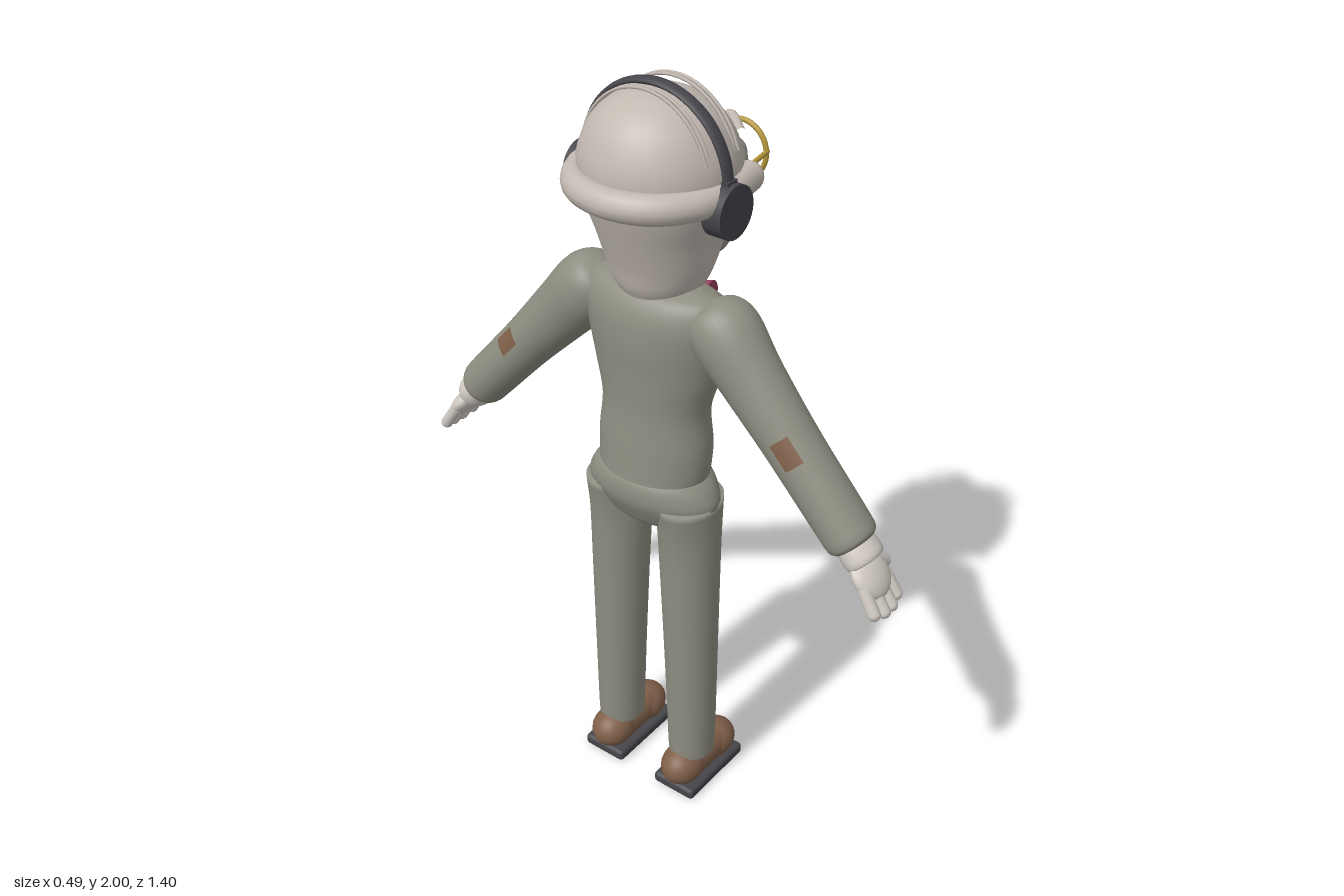
import * as THREE from 'three';
import { RoundedBoxGeometry } from 'three/addons/geometries/RoundedBoxGeometry.js';

const V = (x, y, z) => new THREE.Vector3(x, y, z);
const mat = (name, color) => {
  const m = new THREE.MeshStandardMaterial({ color });
  m.name = name;
  return m;
};

// Closed skin through horizontal ellipses, bottom to top: [y, halfWidth, centreX, centreZ, halfDepth]
function loft(sections, steps = 32, n = 32) {
  const mid = new THREE.CatmullRomCurve3(sections.map(s => V(s[2], s[0], s[3])), false, 'catmullrom');
  const size = new THREE.CatmullRomCurve3(sections.map(s => V(s[1], 0, s[4])), false, 'catmullrom');
  const pos = [], idx = [];
  for (let j = -1; j <= steps + 1; j++) {
    const t = Math.min(Math.max(j / steps, 0), 1);
    const c = mid.getPoint(t), r = size.getPoint(t);
    const k = j < 0 || j > steps ? 0 : 1;
    for (let i = 0; i < n; i++) {
      const a = i / n * Math.PI * 2;
      pos.push(c.x + Math.cos(a) * r.x * k, c.y, c.z + Math.sin(a) * r.z * k);
    }
  }
  for (let j = 0; j < steps + 2; j++) for (let i = 0; i < n; i++) {
    const a = j * n + i, b = j * n + (i + 1) % n;
    idx.push(a, a + n, b, b, a + n, b + n);
  }
  const g = new THREE.BufferGeometry();
  g.setAttribute('position', new THREE.Float32BufferAttribute(pos, 3));
  g.setIndex(idx);
  g.computeVertexNormals();
  return g;
}

const tube = (pts, r, seg = 32, sides = 10) =>
  new THREE.TubeGeometry(new THREE.CatmullRomCurve3(pts), seg, r, sides);

export function createModel() {
  const suit = mat('suit grey', 0x8e8e82), skin = mat('skin', 0xc2b9b1), light = mat('shirt white', 0xd0c9c2);
  const dark = mat('dark plastic', 0x45454b), brown = mat('brown leather', 0x80604a), gold = mat('gold wire', 0xb8983c);
  const pink = mat('bow tie pink', 0x94405f), lipGrey = mat('lip grey', 0x948f88), tooth = mat('teeth', 0xdcd8c8);

  const model = new THREE.Group();
  const body = new THREE.Group();
  body.name = 'figure';
  body.rotation.y = Math.PI / 2;   // built facing +z, turned to face +x
  model.add(body);

  const add = (name, geo, m, x = 0, y = 0, z = 0, parent = body) => {
    const mesh = new THREE.Mesh(geo, m);
    mesh.name = name;
    mesh.position.set(x, y, z);
    parent.add(mesh);
    return mesh;
  };
  const ball = (name, m, p, s, parent = body) => {
    const mesh = add(name, new THREE.SphereGeometry(1, 24, 16), m, ...p, parent);
    mesh.scale.set(...s);
    return mesh;
  };
  const rod = (name, m, a, b, r, parent = body) => {
    const mesh = add(name, new THREE.CapsuleGeometry(r, a.distanceTo(b), 5, 12), m, 0, 0, 0, parent);
    mesh.position.copy(a).lerp(b, 0.5);
    mesh.quaternion.setFromUnitVectors(V(0, 1, 0), b.clone().sub(a).normalize());
    return mesh;
  };

  // Jacket and trousers
  add('jacket', loft([
    [1.0, .146, 0, -.04, .113], [1.03, .152, 0, -.037, .112], [1.1, .154, 0, -.032, .112], [1.2, .146, 0, -.03, .106],
    [1.3, .172, 0, -.022, .115], [1.39, .195, 0, -.016, .125], [1.46, .204, 0, -.022, .112],
    [1.505, .182, 0, -.03, .08], [1.525, .12, 0, -.03, .04]], 48, 40), suit);
  add('hips', loft([
    [.86, .06, 0, -.04, .055], [.88, .13, 0, -.04, .078], [.91, .175, 0, -.04, .095],
    [.95, .188, 0, -.04, .113], [.985, .175, 0, -.04, .117], [1.01, .155, 0, -.04, .113], [1.03, .13, 0, -.04, .1]], 32, 40), suit);

  // Shirt front and bow tie
  add('shirtFront', loft([
    [1.26, .004, 0, .08, .01], [1.31, .016, 0, .088, .014], [1.35, .022, 0, .094, .018],
    [1.4, .033, 0, .094, .02], [1.44, .045, 0, .082, .024], [1.48, .05, 0, .06, .03]], 30, 20), light);
  ball('bowKnot', pink, [0, 1.452, .1], [.016, .02, .02]);

  for (const s of [-1, 1]) {
    const wing = add('bowWing', new THREE.CylinderGeometry(.031, .012, .06, 20), pink, s * .04, 1.452, .095);
    wing.rotation.z = -s * Math.PI / 2;
    wing.scale.z = .75;

    // Legs and shoes
    add('trouserLeg', loft([
      [.11, .06, s * .123, -.036, .063], [.14, .063, s * .123, -.036, .066], [.4, .069, s * .119, -.037, .071],
      [.65, .075, s * .114, -.038, .077], [.83, .079, s * .11, -.038, .084], [.95, .077, s * .11, -.04, .1]], 32, 28), suit);
    ball('shoeHeel', brown, [s * .123, .072, -.075], [.058, .056, .068]);
    ball('shoeToe', brown, [s * .123, .066, .062], [.06, .053, .072]);
    const vamp = add('shoeVamp', new THREE.CylinderGeometry(.054, .054, .13, 24), brown, s * .123, .07, -.01);
    vamp.rotation.x = Math.PI / 2;
    add('shoeSole', new RoundedBoxGeometry(.132, .034, .245, 3, .012), dark, s * .123, .017, -.002);

    // Arm, hanging along its own -y axis, with hand
    const arm = new THREE.Group();
    arm.name = s > 0 ? 'leftArm' : 'rightArm';
    arm.position.set(s * .2, 1.44, -.038);
    arm.rotation.z = s * .741;
    body.add(arm);
    add('sleeve', loft([
      [-.565, .05, 0, 0, .056], [-.55, .062, 0, 0, .066], [-.5, .065, 0, 0, .068], [-.3, .069, 0, 0, .069],
      [-.12, .08, 0, .002, .074], [0, .088, 0, .008, .085], [.06, .065, 0, .008, .068], [.085, .02, 0, .008, .02]], 40, 28), suit, 0, 0, 0, arm);
    const patch = add('elbowPatch', new THREE.CylinderGeometry(.0725, .0725, .07, 10, 1, true, Math.PI - s * .45 - .35, .7), brown, 0, -.3, 0, arm);
    patch.rotation.y = s * .05;
    add('shirtCuff', loft([
      [-.612, .043, 0, 0, .052], [-.6, .047, 0, 0, .056], [-.575, .045, 0, 0, .055], [-.55, .04, 0, 0, .05]], 10, 24), light, 0, 0, 0, arm);
    ball('palm', light, [-s * .006, -.645, -.006], [.027, .06, .06], arm);
    for (let i = 0; i < 4; i++) {
      const z = -.055 + i * .033, tip = -.735 + (i % 3 ? 0 : .012);
      rod('finger', light, V(-s * .008, -.66, z * .9), V(-s * .018, tip, z), .0165, arm);
    }
    rod('thumb', light, V(-s * .015, -.62, .03), V(-s * .034, -.65, .086), .018, arm);
  }

  // Head
  add('head', loft([
    [1.47, .07, 0, -.03, .065], [1.5, .095, 0, -.02, .09], [1.53, .115, 0, -.015, .11], [1.58, .134, 0, -.012, .127],
    [1.65, .151, 0, -.013, .15], [1.72, .175, 0, -.013, .174], [1.78, .188, 0, -.015, .186], [1.84, .183, 0, -.017, .181],
    [1.9, .155, 0, -.02, .155], [1.94, .117, 0, -.022, .118], [1.967, .067, 0, -.024, .068], [1.978, .012, 0, -.024, .012]], 56, 40), skin);

  // Hair: roll around the back and thin strands over the crown
  const half = [[.165, .09], [.176, 0], [.162, -.1], [.1, -.178]];
  const roll = [...half.map(p => V(p[0], 1.773, p[1])), V(0, 1.773, -.207), ...half.reverse().map(p => V(-p[0], 1.773, p[1]))];
  add('hairRoll', tube(roll, .036, 64, 16), skin);
  for (const z of [-.075, -.062, .03, .043]) {
    const pts = [];
    for (let i = 0; i <= 12; i++) {
      const a = (.1 + .8 * i / 12) * Math.PI;
      pts.push(V(Math.cos(a) * .178, 1.79 + Math.sin(a) * .197, z));
    }
    add('hairStrand', tube(pts, .004, 32, 6), skin);
  }

  // Face
  const bridge = ball('nose', skin, [0, 1.745, .192], [.02, .058, .026]);
  bridge.rotation.x = -.4;
  ball('noseTip', skin, [0, 1.716, .217], [.023, .022, .026]);
  for (const s of [-1, 1]) {
    ball('hairRollEnd', skin, [s * .165, 1.773, .09], [.036, .036, .036]);
    ball('eyeSocket', lipGrey, [s * .073, 1.78, .135], [.056, .05, .036]);
    ball('eyeball', light, [s * .073, 1.782, .148], [.036, .031, .033]);
    ball('iris', dark, [s * .07, 1.78, .177], [.014, .015, .007]);
    const lid = add('upperLid', new THREE.SphereGeometry(.041, 24, 10, 0, Math.PI * 2, 0, Math.PI / 2), lipGrey, s * .073, 1.786, .148);
    lid.rotation.x = .12;
    add('eyebrow', tube([V(s * .03, 1.842, .168), V(s * .065, 1.872, .16), V(s * .125, 1.858, .115)], .012, 16, 10), skin);
    ball('browEnd', skin, [s * .03, 1.842, .168], [.013, .013, .013]);

    // Spectacles
    add('lensRim', new THREE.TorusGeometry(.069, .0065, 8, 36), gold, s * .079, 1.788, .186);
    rod('temple', gold, V(s * .15, 1.796, .186), V(s * .168, 1.796, .075), .006);
  }
  add('glassesBridge', tube([V(-.014, 1.79, .188), V(0, 1.802, .2), V(.014, 1.79, .188)], .006, 12, 8), gold);

  // Mouth with two rows of teeth
  const lips = add('lips', new THREE.TorusGeometry(.068, .016, 12, 36), lipGrey, 0, 1.585, .137);
  lips.scale.set(1, .78, 1.5);
  ball('mouthInside', pink, [0, 1.585, .124], [.066, .052, .016]);
  for (let i = -2; i <= 2; i++) {
    const h = .034 - Math.abs(i) * .005;
    add('upperTooth', new RoundedBoxGeometry(.021, h, .014, 2, .005), tooth, i * .022, 1.587 + h / 2, .143 - Math.abs(i) * .003);
    add('lowerTooth', new RoundedBoxGeometry(.021, h * .75, .014, 2, .005), tooth, i * .022, 1.584 - h * .375, .141 - Math.abs(i) * .003);
  }

  // Headset
  const band = add('headband', new THREE.TorusGeometry(.196, .009, 10, 48, Math.PI), dark, 0, 1.794, -.03);
  band.scale.z = 2;
  for (const s of [-1, 1]) {
    const cup = add('earCup', new THREE.CylinderGeometry(.063, .063, .05, 32), dark, s * .195, 1.745, -.03);
    cup.rotation.z = Math.PI / 2;
    add('bandEnd', new THREE.BoxGeometry(.018, .06, .034), dark, s * .198, 1.785, -.03);
  }
  const corner = V(.182, 1.625, .1);
  rod('micBoom', dark, V(.2, 1.715, -.02), corner, .008);
  rod('micArm', dark, corner, V(.09, 1.577, .18), .008);
  ball('microphone', dark, [.087, 1.575, .181], [.025, .025, .025]);

  return model;
}
